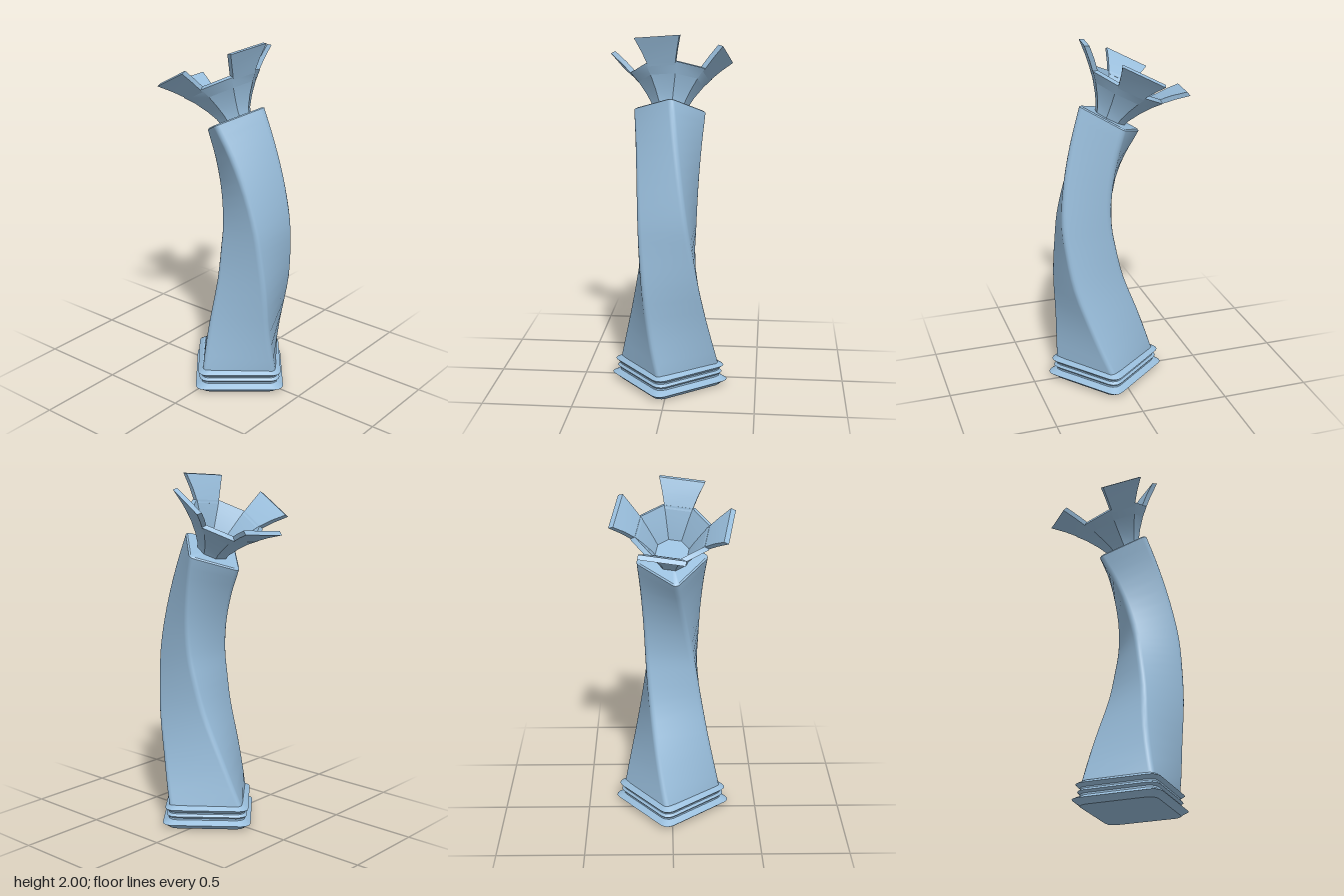
import * as THREE from 'three';
import { toCreasedNormals } from 'three/addons/utils/BufferGeometryUtils.js';

const rad = THREE.MathUtils.degToRad;

// Skins a stack of closed rings (counter-clockwise from above) and caps both ends
function loft(rings, crease = 0.6) {
  const n = rings[0].length, pos = [], index = [];
  rings.forEach(r => r.forEach(p => pos.push(p.x, p.y, p.z)));
  for (let i = 0; i < rings.length - 1; i++) {
    for (let j = 0; j < n; j++) {
      const a = i * n + j, b = i * n + (j + 1) % n;
      index.push(a, b, b + n, a, b + n, a + n);
    }
  }
  [rings[0], rings[rings.length - 1]].forEach((ring, end) => {
    const c = ring.reduce((s, p) => s.add(p), new THREE.Vector3()).divideScalar(n);
    const ci = pos.length / 3, start = end ? (rings.length - 1) * n : 0;
    pos.push(c.x, c.y, c.z);
    for (let j = 0; j < n; j++) {
      const a = start + j, b = start + (j + 1) % n;
      if (end) index.push(ci, a, b); else index.push(ci, b, a);
    }
  });
  const g = new THREE.BufferGeometry();
  g.setAttribute('position', new THREE.Float32BufferAttribute(pos, 3));
  g.setIndex(index);
  return toCreasedNormals(g, crease);
}

// Rounded square with corner reach R, one corner at `turn` degrees from +z, leaning back by `tilt`
function squareRing(R, round, turn, y, z, tilt = 0) {
  const pts = [], t = rad(tilt), steps = 3;
  for (let k = 0; k < 4; k++) {
    const mid = rad(turn + 90 * k);
    for (let s = 0; s <= steps; s++) {
      const a = mid + rad(-45 + 90 * s / steps);
      const x = Math.sin(mid) * (R - round) + Math.sin(a) * round;
      const f = Math.cos(mid) * (R - round) + Math.cos(a) * round;
      pts.push(new THREE.Vector3(x, y + f * Math.sin(t), z + f * Math.cos(t)));
    }
  }
  return pts;
}

export function createModel() {
  const group = new THREE.Group();
  const blue = new THREE.MeshStandardMaterial({ color: 0x98bddb });
  blue.name = 'soft blue';
  const add = (parent, geometry, name) => {
    const mesh = new THREE.Mesh(geometry, blue);
    mesh.name = name;
    parent.add(mesh);
    return mesh;
  };

  // Ridged square base: [y, corner reach]
  const ridges = [[0, 0.29], [0.012, 0.305], [0.03, 0.336], [0.052, 0.29], [0.062, 0.29],
    [0.075, 0.306], [0.088, 0.29], [0.096, 0.29], [0.115, 0.316], [0.133, 0.282]];
  add(group, loft(ridges.map(([y, R]) => squareRing(R, 0.05, -6, y, 0.066)), 0.4), 'base');

  // Twisted, bending column: keys are [y, z, corner reach, tilt]
  const keys = [[0.12, 0.068, 0.285, 0], [0.4, 0.118, 0.24, -5], [0.65, 0.167, 0.211, -5],
    [0.85, 0.183, 0.196, -2], [1.0, 0.186, 0.187, 2], [1.2, 0.158, 0.18, 11],
    [1.4, 0.102, 0.184, 19], [1.57, 0.035, 0.197, 27.3]];
  const path = new THREE.CatmullRomCurve3(keys.map(k => new THREE.Vector3(k[0], k[1], k[2])));
  const tilts = new THREE.SplineCurve(keys.map((k, i) => new THREE.Vector2(i, k[3])));
  const rings = [], count = 21;
  for (let i = 0; i <= count; i++) {
    const p = path.getPoint(i / count), tilt = tilts.getPoint(i / count).y;
    const turn = -7 - 77 * (p.x - 0.12) / 1.45;
    rings.push(squareRing(p.z, 0.028, turn, p.x, p.y, tilt));
  }
  rings.push(squareRing(0.187, 0.024, -84, 1.576, 0.032, 27.3));
  add(group, loft(rings), 'column');

  // Crown leans back with the column's top
  const crown = new THREE.Group();
  crown.name = 'crown';
  crown.position.set(0, 1.57, 0.035);
  crown.rotation.set(-rad(27.3), -rad(10.8), 0);
  group.add(crown);

  // Eight-sided flared bowl: [distance to face, height], outside up then inside down
  const profile = [[0.08, -0.01], [0.094, 0.035], [0.124, 0.09], [0.168, 0.155], [0.211, 0.205],
    [0.188, 0.22], [0.15, 0.165], [0.112, 0.105], [0.087, 0.062], [0, 0.06]]
    .map(([r, h]) => new THREE.Vector2(r / Math.cos(Math.PI / 8), h));
  add(crown, toCreasedNormals(new THREE.LatheGeometry(profile, 8, Math.PI / 8), 0.6), 'bowl');

  // Four widening petals: [half width, outer reach, outer height, inner reach, inner height]
  const petal = loft([[0.074, 0.198, 0.19, 0.176, 0.205], [0.098, 0.256, 0.252, 0.234, 0.268],
    [0.126, 0.319, 0.311, 0.293, 0.322]].map(([w, ro, ho, ri, hi]) => [
    new THREE.Vector3(-w, ho, ro), new THREE.Vector3(w, ho, ro),
    new THREE.Vector3(w, hi, ri), new THREE.Vector3(-w, hi, ri)]));
  for (let k = 0; k < 4; k++) add(crown, petal, 'petal').rotation.y = k * Math.PI / 2;

  return group;
}
